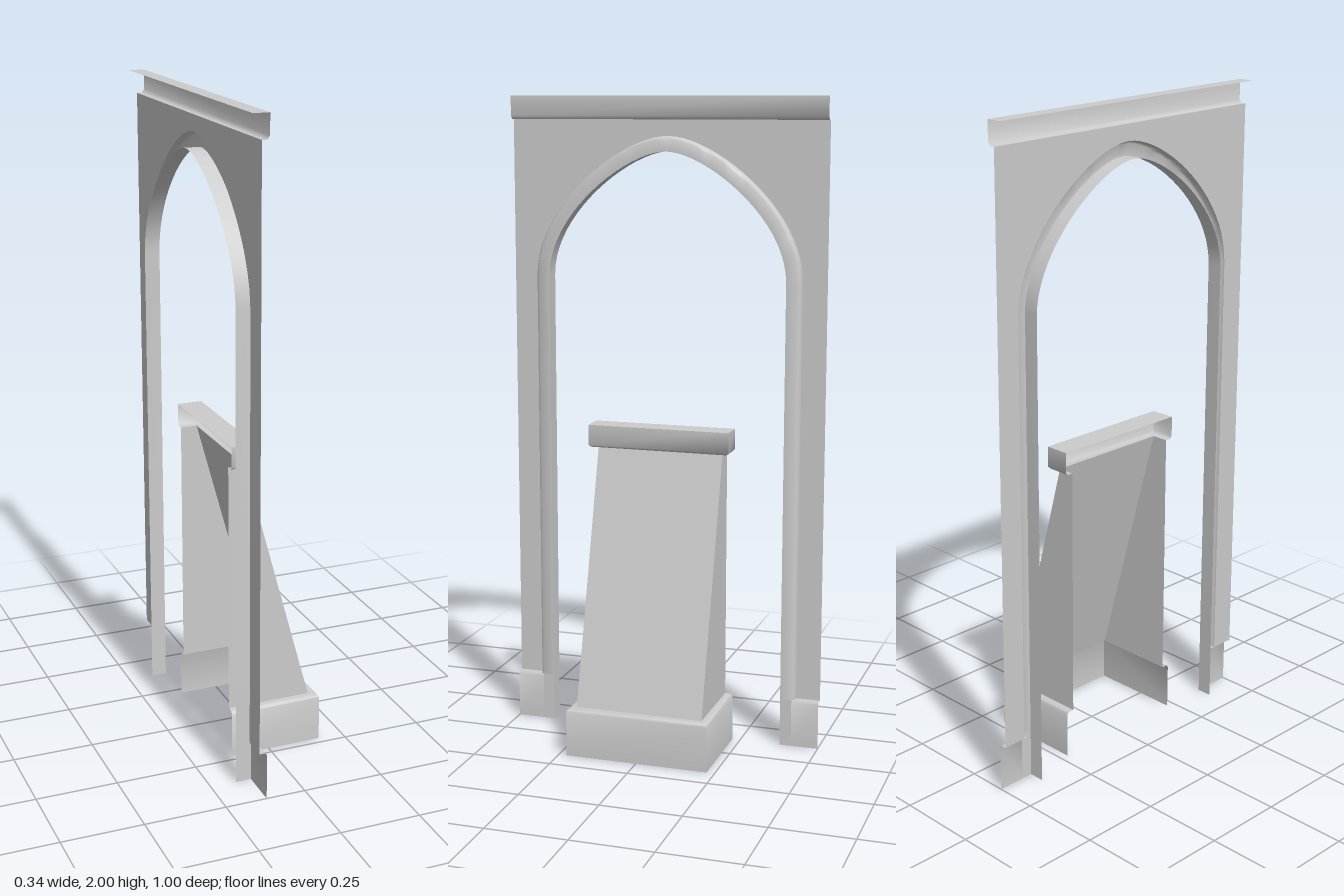
import * as THREE from 'three';
import { toCreasedNormals } from 'three/addons/utils/BufferGeometryUtils.js';

// Depths along x: back of the reveal, wall face, face of mouldings
const BACK = -0.17, WALL = -0.145, FACE = -0.122;

export function createModel() {
  const model = new THREE.Group();
  model.name = 'archedWallWithButtress';
  const material = new THREE.MeshStandardMaterial({ color: 0xcccccc, side: THREE.DoubleSide });

  function add(name, geometry, parent = model) {
    const mesh = new THREE.Mesh(geometry, material);
    mesh.name = name;
    parent.add(mesh);
  }

  // Surface through rows of [x, y, z] points
  function loft(rows) {
    const position = [];
    for (let i = 0; i < rows.length - 1; i++) {
      for (let j = 0; j < rows[i].length - 1; j++) {
        const a = rows[i][j], b = rows[i][j + 1], c = rows[i + 1][j + 1], d = rows[i + 1][j];
        position.push(...a, ...b, ...c, ...a, ...c, ...d);
      }
    }
    const geometry = new THREE.BufferGeometry();
    geometry.setAttribute('position', new THREE.Float32BufferAttribute(position, 3));
    return toCreasedNormals(geometry, 0.9);
  }

  // Straight moulding: an [x, y] profile drawn along z
  const strip = (profile, z0, z1) => loft(profile.map(([x, y]) => [[x, y, z1], [x, y, z0]]));

  // Arch opening: half path as point and outward normal in (z, y), then mirrored
  const curve = new THREE.CubicBezierCurve(
    new THREE.Vector2(-0.378, 1.45), new THREE.Vector2(-0.378, 1.645),
    new THREE.Vector2(-0.12, 1.835), new THREE.Vector2(0, 1.835));
  const half = [[-0.378, 0, -1, 0], [-0.378, 0.15, -1, 0]];
  for (let i = 0; i <= 20; i++) {
    const p = curve.getPoint(i / 20), t = curve.getTangent(i / 20);
    half.push([p.x, p.y, -t.y, t.x]);
  }
  const path = [...half, ...half.slice(0, -1).reverse().map(([z, y, nz, ny]) => [-z, y, -nz, ny])];

  // Arch surround: [offset from opening, x]
  const section = [[0, BACK], [0, FACE], [0.036, FACE], [0.042, -0.126], [0.046, WALL]];
  const rows = path.map(([z, y, nz, ny]) => section.map(([d, x]) => [x, y + ny * d, z + nz * d]));
  const surround = rows.slice(1, -1);
  const wall = new THREE.Group();
  wall.name = 'archedWall';
  model.add(wall);
  add('archMoulding', loft(surround), wall);

  // Wall panel around the arch
  const outline = surround.map((row) => new THREE.Vector2(row[4][2], row[4][1]));
  const panel = new THREE.Shape([
    new THREE.Vector2(-0.5, 0.15), ...outline, new THREE.Vector2(0.5, 0.15),
    new THREE.Vector2(0.5, 1.93), new THREE.Vector2(-0.5, 1.93)]);
  add('wallPanel', new THREE.ShapeGeometry(panel).rotateY(Math.PI / 2).translate(WALL, 0, 0), wall);

  // Plinths and the feet of the jambs
  const plinth = [[FACE, 0], [FACE, 0.142], [-0.127, 0.15], [WALL, 0.15]];
  add('leftPlinth', strip(plinth, 0.414, 0.5), wall);
  add('rightPlinth', strip(plinth, -0.5, -0.414), wall);
  const foot = (pair) => loft(pair.map((row) => row.slice(0, 3)));
  add('rightJambFoot', foot(rows.slice(0, 2)), wall);
  add('leftJambFoot', foot(rows.slice(-2)), wall);

  // Cornice
  add('cornice', strip([[WALL, 1.93], [-0.13, 1.93], [FACE, 1.94], [FACE, 2], [BACK, 2]], -0.5, 0.5), wall);

  // Buttress, open at the back and below: rings of [y, half width, front x]
  const buttress = new THREE.Group();
  buttress.name = 'buttress';
  model.add(buttress);
  const shell = (rings) => loft(rings.map(([y, w, x]) =>
    [[FACE, y, w], [x, y, w], [x, y, -w], [FACE, y, -w]]));
  add('buttressBase', shell([
    [0, 0.225, 0.17], [0.14, 0.225, 0.17], [0.147, 0.222, 0.167],
    [0.15, 0.215, 0.16], [0.15, 0.2, 0.142]]), buttress);
  add('buttressBody', shell([[0.15, 0.2, 0.142], [0.93, 0.2, -0.07]]), buttress);
  add('buttressCap', shell([
    [0.93, 0.2, -0.07], [0.93, 0.218, -0.052], [0.937, 0.225, -0.045], [1, 0.225, -0.045]]), buttress);
  add('buttressCapTop', loft([0.225, -0.225].map((z) => [[FACE, 1, z], [-0.045, 1, z]])), buttress);

  return model;
}
